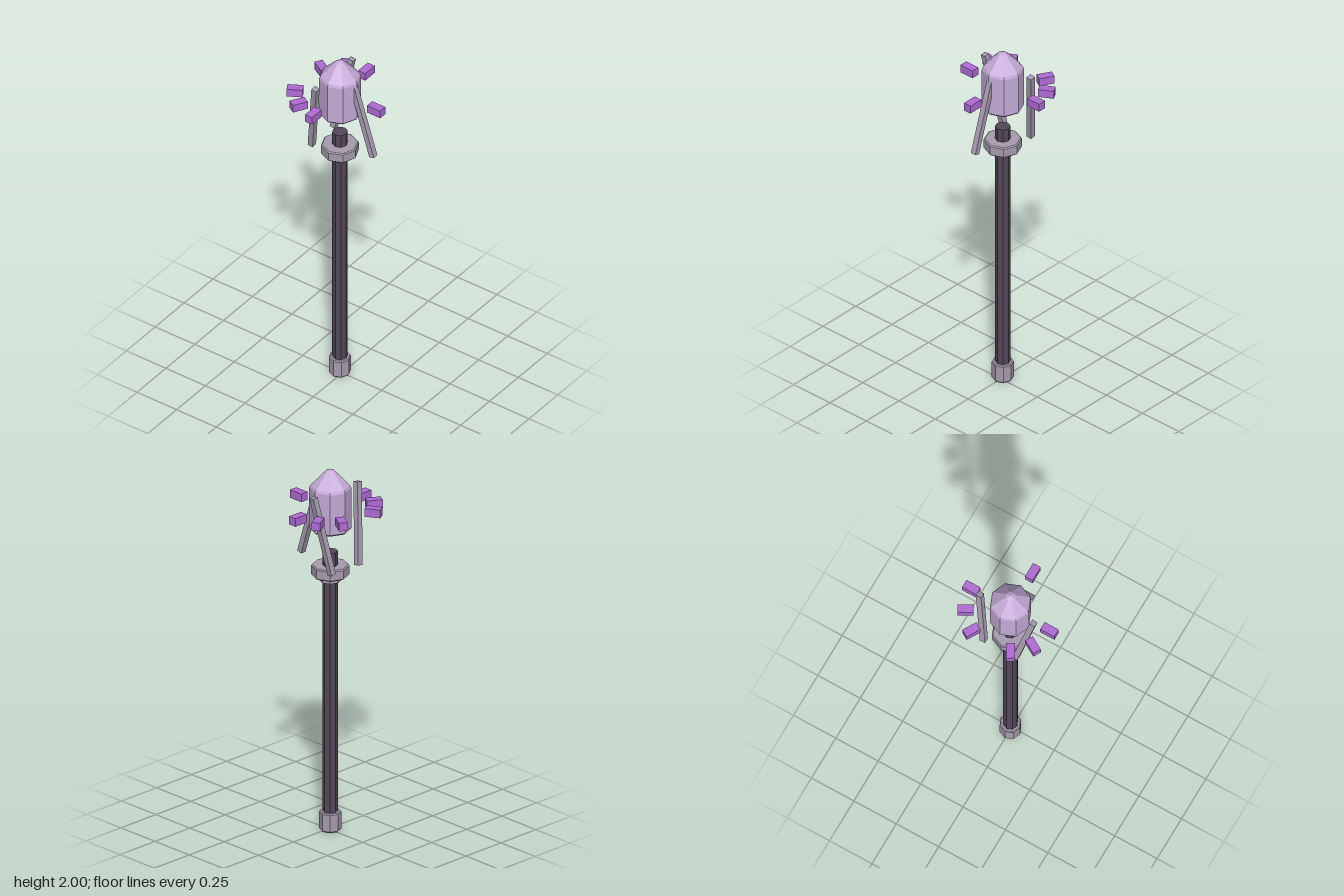
import * as THREE from 'three';

export function createModel() {
  const model = new THREE.Group();
  model.name = 'staff';
  const AXIS = -0.014; // the shaft sits slightly off centre

  const mat = (name, color) => {
    const m = new THREE.MeshStandardMaterial({ color, flatShading: true });
    m.name = name;
    return m;
  };
  const darkShaft = mat('dark shaft', 0x54475a);
  const greyMetal = mat('grey metal', 0xa79cb0);
  const lilac = mat('lilac crystal', 0xc6acd9);
  const violet = mat('violet shard', 0xb06bd6);

  const add = (name, geometry, material) => {
    const mesh = new THREE.Mesh(geometry, material);
    mesh.name = name;
    model.add(mesh);
    return mesh;
  };

  // Eight-sided turned part from [radius, height] pairs, bottom to top
  const turned = (name, profile, material) => {
    const points = profile.map(([r, y]) => new THREE.Vector2(r, y));
    add(name, new THREE.LatheGeometry(points, 8), material).position.x = AXIS;
  };

  // Straight square bar between two points
  const strut = (name, from, to) => {
    const a = new THREE.Vector3(...from), b = new THREE.Vector3(...to);
    const dir = b.clone().sub(a);
    const bar = add(name, new THREE.BoxGeometry(0.03, dir.length(), 0.031), greyMetal);
    bar.position.copy(a).add(b).multiplyScalar(0.5);
    bar.quaternion.setFromUnitVectors(new THREE.Vector3(0, 1, 0), dir.normalize());
  };

  // Shaft with foot and collar
  turned('shaft', [[0, 0.002], [0.04, 0.002], [0.04, 1.545], [0, 1.545]], darkShaft);
  turned('foot', [[0, 0.006], [0.038, 0], [0.05, 0], [0.057, 0.008], [0.057, 0.1], [0.052, 0.106], [0, 0.106]], greyMetal);
  turned('lowerCollar', [[0, 1.383], [0.057, 1.383], [0.057, 1.415], [0, 1.415]], greyMetal);
  turned('collar', [[0, 1.411], [0.092, 1.411], [0.098, 1.417], [0.098, 1.465], [0.092, 1.471], [0, 1.471]], greyMetal);

  // Floating crystal head
  turned('crystal', [[0, 1.665], [0.1, 1.665], [0.108, 1.674], [0.108, 1.895], [0.102, 1.909], [0.024, 1.99], [0, 2]], lilac);

  // Three leaning struts around the crystal
  strut('leftStrut', [0.198, 1.48, 0], [0.065, 1.9, 0]);
  for (const s of [-1, 1]) {
    strut(s > 0 ? 'frontStrut' : 'backStrut', [-0.122, 1.472, s * 0.095], [-0.053, 1.896, s * 0.158]);
  }

  // Broken ring of shards
  for (const degrees of [0, 90, 120, 150, 210, 240, 270]) {
    const a = THREE.MathUtils.degToRad(degrees);
    const shard = add('shard', new THREE.BoxGeometry(0.083, 0.045, 0.045), violet);
    shard.position.set(AXIS + 0.23 * Math.cos(a), 1.787, -0.23 * Math.sin(a));
    shard.rotation.y = a;
  }

  return model;
}
